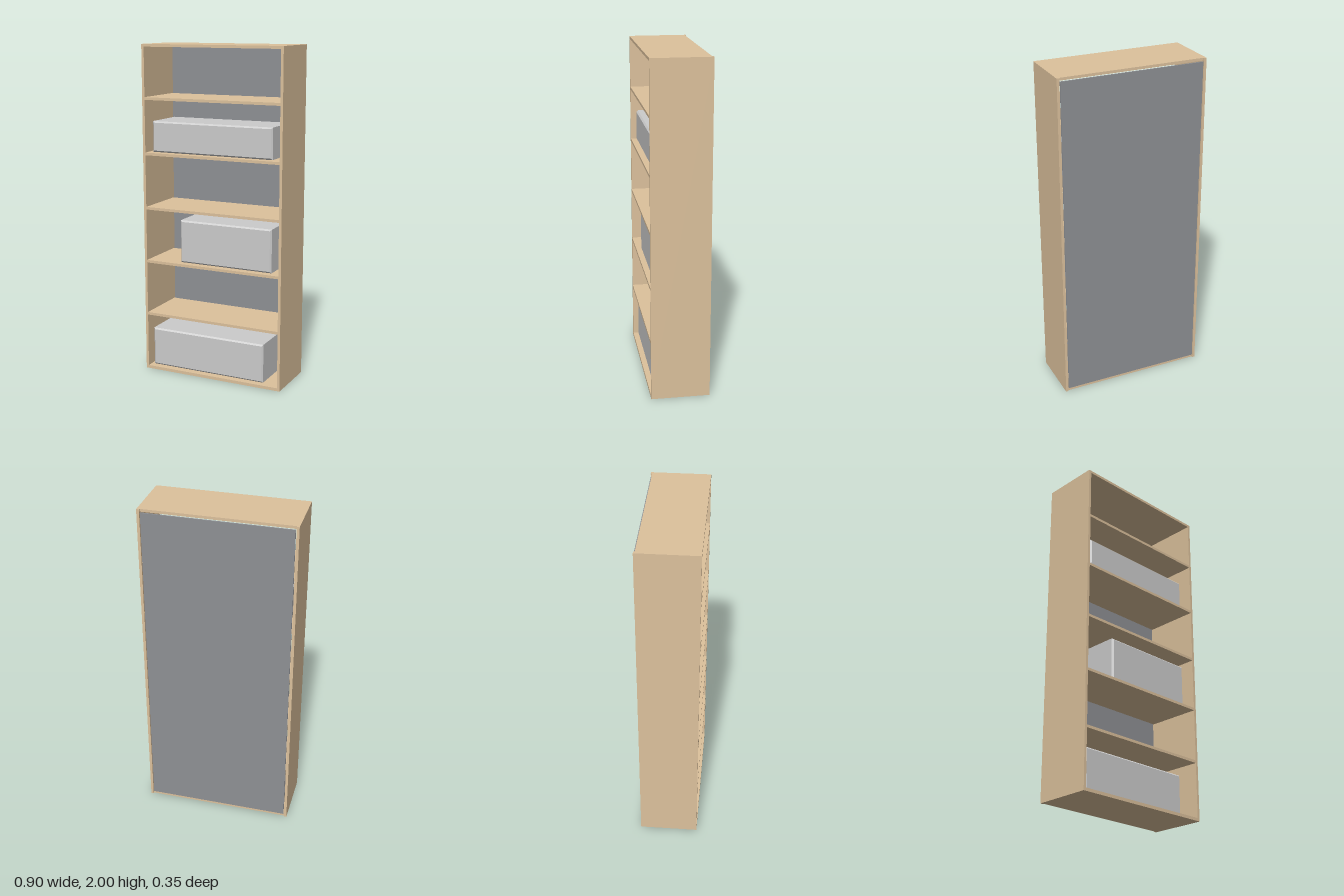
import * as THREE from 'three';

const W = 0.45;        // half width
const FRONT = 0.174, BACK = -0.174;
const T = 0.016;       // board thickness
const INNER_BACK = -0.166;

const wood = new THREE.MeshStandardMaterial({ color: 0xdcc19c });
const panelGrey = new THREE.MeshStandardMaterial({ color: 0x8e9094 });
const grey = new THREE.MeshStandardMaterial({ color: 0xcccccc });

// Box given by its minimum and maximum on each axis
function board(name, [x0, x1], [y0, y1], [z0, z1], material) {
  const mesh = new THREE.Mesh(new THREE.BoxGeometry(x1 - x0, y1 - y0, z1 - z0), material);
  mesh.position.set((x0 + x1) / 2, (y0 + y1) / 2, (z0 + z1) / 2);
  mesh.name = name;
  return mesh;
}

// Storage box with chamfered front and back rims
function storageBox(name, [x0, x1], [y0, y1], [z0, z1]) {
  const b = 0.009;
  const w = (x1 - x0) / 2 - b, h = (y1 - y0) / 2 - b;
  const outline = new THREE.Shape([
    new THREE.Vector2(-w, -h), new THREE.Vector2(w, -h),
    new THREE.Vector2(w, h), new THREE.Vector2(-w, h),
  ]);
  const geometry = new THREE.ExtrudeGeometry(outline, {
    depth: z1 - z0 - 2 * b, bevelEnabled: true, bevelSize: b, bevelThickness: b, bevelSegments: 1,
  });
  const mesh = new THREE.Mesh(geometry, grey);
  mesh.position.set((x0 + x1) / 2, (y0 + y1) / 2, z0 + b);
  mesh.name = name;
  return mesh;
}

export function createModel() {
  const group = new THREE.Group();
  group.name = 'bookcase';
  const inner = [-W + T, W - T];
  const depth = [INNER_BACK, FRONT];

  // Carcass
  group.add(board('leftSide', [W - T, W], [0, 2], [BACK, FRONT], wood));
  group.add(board('rightSide', [-W, -W + T], [0, 2], [BACK, FRONT], wood));
  group.add(board('topBoard', inner, [2 - T, 2], depth, wood));
  group.add(board('bottomBoard', inner, [0, 0.018], depth, wood));

  // Shelves, by height of their upper surface
  [0.365, 0.698, 1.029, 1.36, 1.69].forEach((y, i) => {
    group.add(board(`shelf${i + 1}`, inner, [y - T, y], depth, wood));
  });

  // Back panel set between the sides
  group.add(board('backPanel', [-0.43, 0.43], [0.02, 1.98], [BACK, INNER_BACK], panelGrey));

  // Storage boxes
  const boxDepth = [-0.14, 0.143];
  group.add(storageBox('lowerBox', [-0.413, 0.328], [0.02, 0.257], boxDepth));
  group.add(storageBox('middleBox', [-0.218, 0.375], [0.7, 0.96], boxDepth));
  group.add(storageBox('upperBox', [-0.4, 0.375], [1.362, 1.547], boxDepth));

  return group;
}
